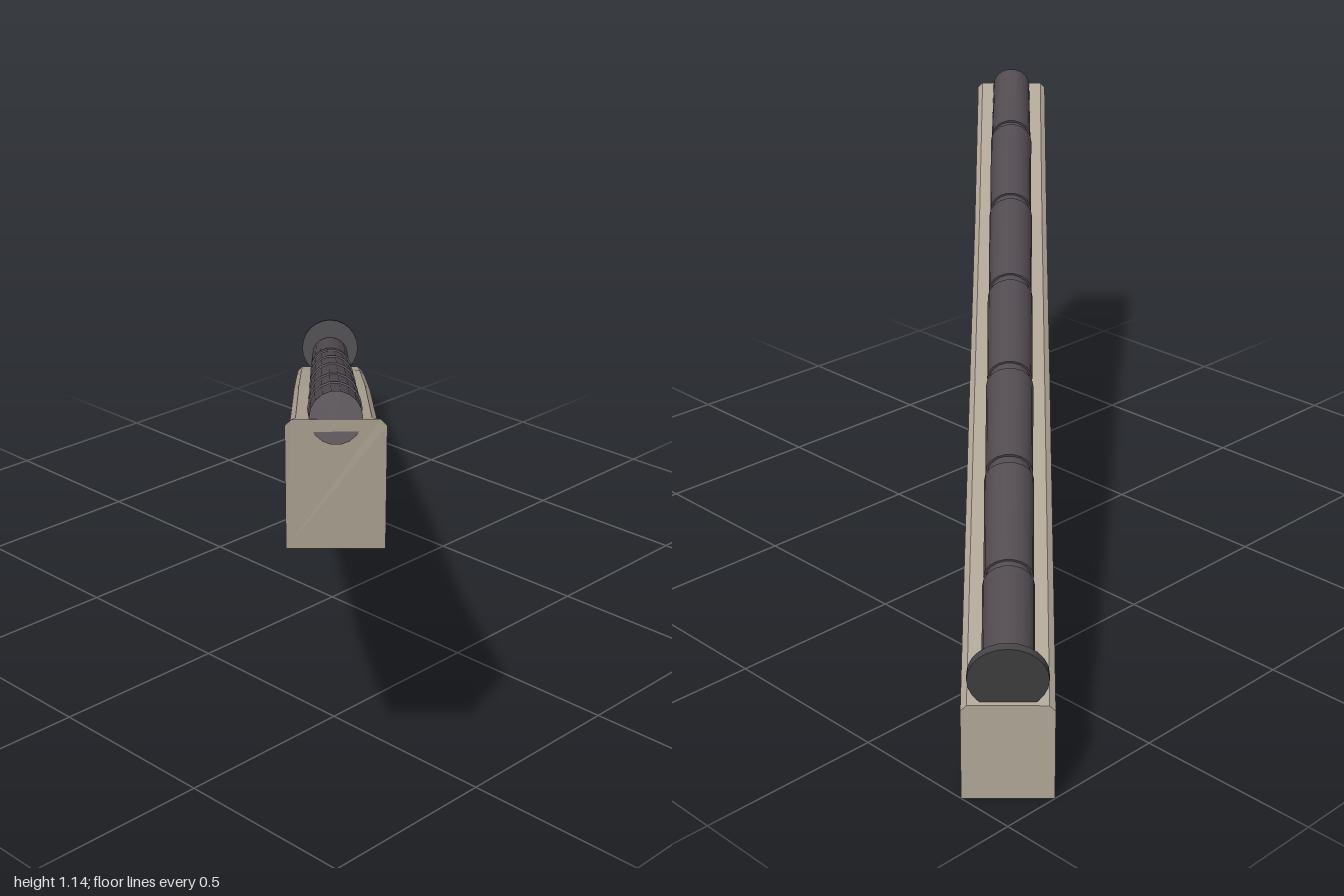
import * as THREE from 'three';

const stone = new THREE.MeshStandardMaterial({ color: 0xb0a696 });
stone.name = 'warm stone';
const tile = new THREE.MeshStandardMaterial({ color: 0x524b50 });
tile.name = 'dark tile';
const endTile = new THREE.MeshStandardMaterial({ color: 0x454446 });
endTile.name = 'end tile';

const D = Math.SQRT2; // profile positions are given along x; the ridge runs on the diagonal
const HALF = 0.113;

// Wall: six cross-sections joined into a closed prism with a small top chamfer
function wallGeometry() {
  const top = [[-0.92, 0.26], [-0.62, 0.4], [-0.11, 0.62], [0.16, 0.72], [0.45, 0.83], [0.92, 1.09]];
  const bottomRight = [[-0.92, 0], [-0.67, 0.06], [-0.44, 0.197], [-0.07, 0.36], [0.51, 0.57], [0.895, 0.76]];
  const bottomLeft = [[-0.92, 0], [-0.58, 0.09], [-0.18, 0.3], [0, 0.37], [0.51, 0.57], [0.895, 0.76]];
  const pos = [], idx = [], n = 6, c = 0.015;
  top.forEach(([x, y], i) => {
    const [rx, ry] = bottomRight[i], [lx, ly] = bottomLeft[i];
    pos.push(
      rx * D, ry, HALF, lx * D, ly, -HALF,
      x * D, y - c, -HALF, x * D, y, -HALF + c,
      x * D, y, HALF - c, x * D, y - c, HALF);
  });
  for (let i = 0; i < top.length - 1; i++) {
    for (let j = 0; j < n; j++) {
      const k = (j + 1) % n;
      const a = i * n + j, b = a + n, d = i * n + k, e = d + n;
      idx.push(a, d, e, a, e, b);
    }
  }
  const last = (top.length - 1) * n;
  for (let k = 1; k < n - 1; k++) {
    idx.push(0, k + 1, k, last, last + k, last + k + 1);
  }
  const g = new THREE.BufferGeometry();
  g.setAttribute('position', new THREE.Float32BufferAttribute(pos, 3));
  g.setIndex(idx);
  const flat = g.toNonIndexed();
  flat.computeVertexNormals();
  return flat;
}

// Cylinder between two points
function rod(name, a, b, ra, rb, material, sides = 18) {
  const dir = b.clone().sub(a);
  const m = new THREE.Mesh(new THREE.CylinderGeometry(rb, ra, dir.length(), sides), material);
  m.position.copy(a).add(b).multiplyScalar(0.5);
  m.quaternion.setFromUnitVectors(new THREE.Vector3(0, 1, 0), dir.normalize());
  m.name = name;
  return m;
}

export function createModel() {
  const model = new THREE.Group();
  model.name = 'slopedRidge';
  const ridge = new THREE.Group();
  ridge.name = 'ridge';
  ridge.rotation.y = -Math.PI / 4;
  model.add(ridge);

  const wall = new THREE.Mesh(wallGeometry(), stone);
  wall.name = 'wall';
  ridge.add(wall);

  // Rounded ridge tiles, each with a narrower neck at the joint
  const path = [[-0.915, 0.31], [-0.67, 0.387], [-0.42, 0.508], [-0.16, 0.62], [0.115, 0.738],
    [0.4, 0.857], [0.68, 0.982], [0.911, 1.088]].map(([x, y]) => new THREE.Vector3(x * D, y, 0));
  for (let i = 0; i < path.length - 1; i++) {
    const a = path[i], b = path[i + 1];
    const isLast = i === path.length - 2;
    const neck = a.clone().lerp(b, 0.08);
    ridge.add(rod('tileNeck', a, neck, 0.057, 0.057, tile));
    ridge.add(rod('ridgeTile', neck, b, 0.063, isLast ? 0.06 : 0.066, tile));
  }

  // Round end tile leaning outward at the low end
  const axis = path[1].clone().sub(path[0]).normalize();
  const centre = new THREE.Vector3(-0.915 * D, 0.335, 0);
  ridge.add(rod('endDisc', centre.clone().addScaledVector(axis, -0.012),
    centre.clone().addScaledVector(axis, 0.01), 0.098, 0.098, endTile, 24));

  return model;
}
